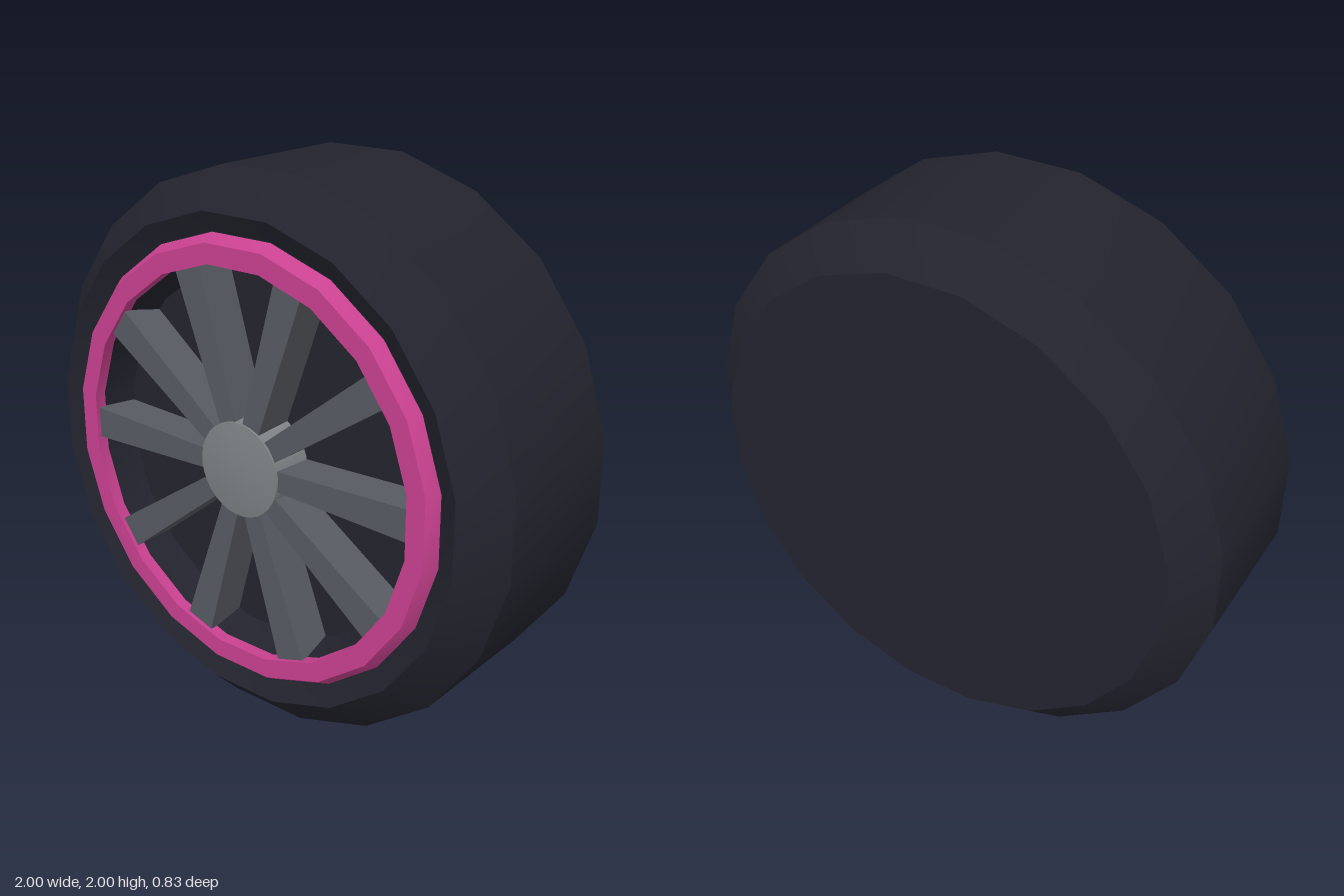
import * as THREE from 'three';
import { toCreasedNormals } from 'three/addons/utils/BufferGeometryUtils.js';

const SIDES = 20;
const paint = (name, color) => {
  const m = new THREE.MeshStandardMaterial({ color });
  m.name = name;
  return m;
};

// Revolve a [radius, z] profile about the z axis; radii are measured to the flats.
function turned(profile, sides) {
  const k = 1 / Math.cos(Math.PI / sides);
  const points = profile.map(([r, z]) => new THREE.Vector2(r * k, z));
  const geo = new THREE.LatheGeometry(points, sides, Math.PI / sides);
  geo.rotateX(Math.PI / 2);
  return toCreasedNormals(geo, 0.4);
}

export function createModel() {
  const rubber = paint('dark rubber', 0x22232d);
  const pink = paint('pink rim', 0xc8418f);
  const steel = paint('grey spokes', 0x575a61);
  const silver = paint('light grey hub', 0x7e8285);

  const wheel = new THREE.Group();
  wheel.name = 'wheel';
  wheel.position.y = 1;
  const add = (name, geo, mat) => {
    const mesh = new THREE.Mesh(geo, mat);
    mesh.name = name;
    wheel.add(mesh);
    return mesh;
  };

  // Tyre: closed back, chamfered tread, sunken front with a shallow dish
  add('tyre', turned([
    [0, -0.415], [0.87, -0.415], [1, -0.29], [1, 0.27], [0.87, 0.4],
    [0.8, 0.365], [0.7, 0.365], [0.67, 0.25], [0, 0.25],
  ], SIDES), rubber);

  // Raised rim ring with a bevelled outer edge
  add('rimRing', turned([
    [0.8, 0.36], [0.77, 0.41], [0.7, 0.41], [0.7, 0.36],
  ], SIDES), pink);

  // Ten tapered spokes, wider towards the rim
  const outline = new THREE.Shape([
    new THREE.Vector2(0.1, -0.035), new THREE.Vector2(0.71, -0.058),
    new THREE.Vector2(0.71, 0.058), new THREE.Vector2(0.1, 0.035),
  ]);
  const spokeGeo = new THREE.ExtrudeGeometry(outline, { depth: 0.15, bevelEnabled: false });
  for (let i = 0; i < 10; i++) {
    const spoke = add('spoke', spokeGeo, steel);
    spoke.position.z = 0.245;
    spoke.rotation.z = (i * Math.PI) / 5;
  }

  // Hub barrel with a slightly domed cap
  add('hub', turned([
    [0.18, 0.245], [0.17, 0.402], [0.12, 0.409], [0.06, 0.4135], [0, 0.415],
  ], 32), silver);

  const model = new THREE.Group();
  model.name = 'wheelModel';
  model.add(wheel);
  return model;
}
